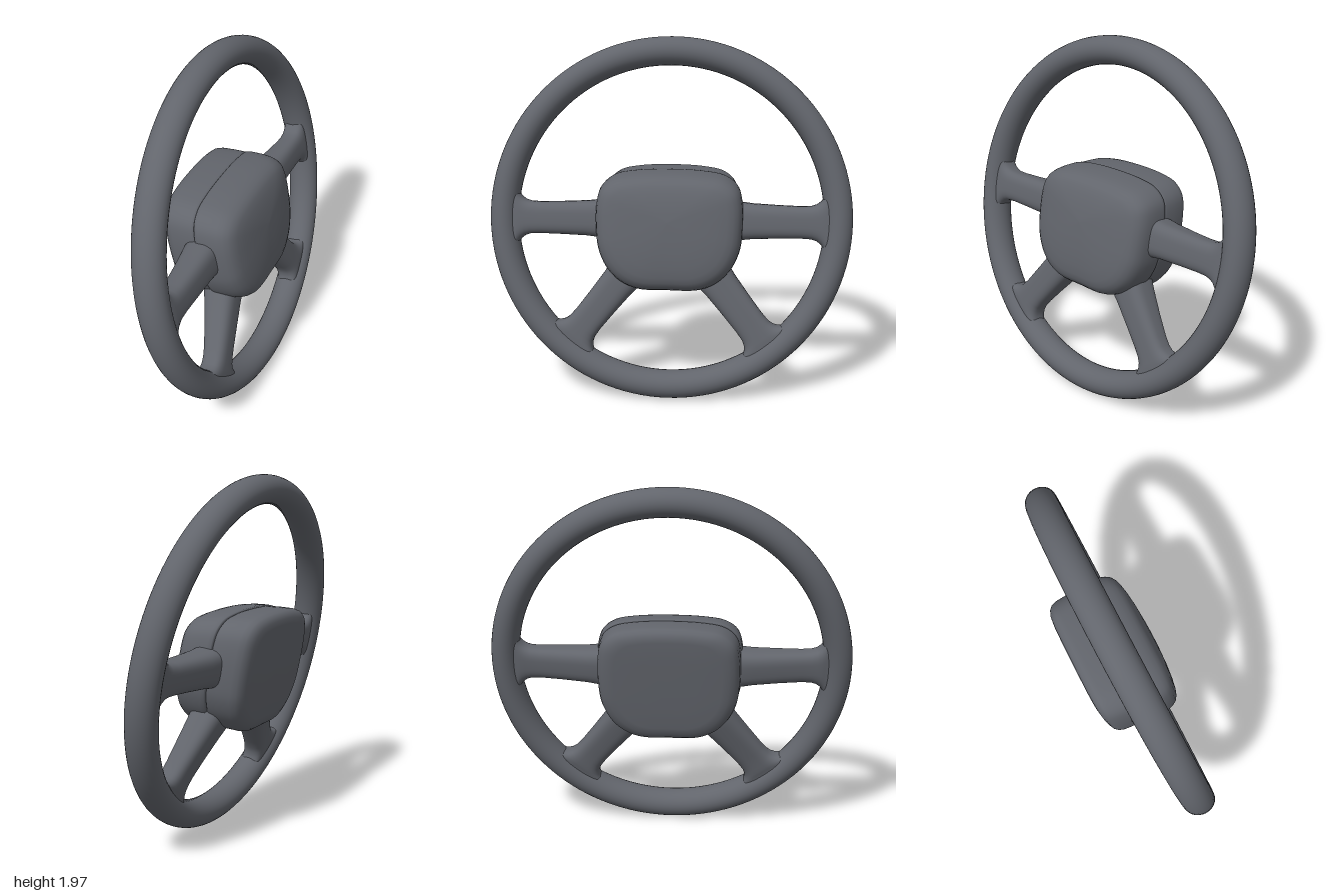
import * as THREE from 'three';

// Skin a list of closed rings, each running counter-clockwise around the loft axis.
function loft(rings) {
  const n = rings[0].length;
  const index = [];
  for (let i = 0; i < rings.length - 1; i++) {
    for (let j = 0; j < n; j++) {
      const a = i * n + j, b = i * n + (j + 1) % n;
      index.push(a, b, a + n, b, b + n, a + n);
    }
  }
  const geo = new THREE.BufferGeometry().setFromPoints(rings.flat());
  geo.setIndex(index);
  geo.computeVertexNormals();
  return geo;
}

// Hub outline: x holds the sideways distance, y the height
const half = [[0, 0.275], [0.2, 0.266], [0.31, 0.243], [0.375, 0.19], [0.4, 0.1], [0.4, -0.08],
  [0.385, -0.17], [0.34, -0.265], [0.27, -0.335], [0.17, -0.378], [0, -0.383]];
const mirrored = half.slice(1, -1).reverse().map(([z, y]) => [-z, y]);
const outline = new THREE.CatmullRomCurve3(
  [...half, ...mirrored].map(([z, y]) => new THREE.Vector3(z, y, 0)), true).getPoints(96).slice(0, 96);

// Hub shell from [depth, scale] steps; the top slopes down toward the face
function hubShell(steps) {
  return loft(steps.map(([d, s]) => outline.map(p =>
    new THREE.Vector3(d, p.y * s * (p.y > 0 ? 1 - 0.8 * d : 1), p.x * s))));
}

// Spoke from [radius, half width, back depth, front depth] steps, with a rounded-box section
function spokeGeometry(steps) {
  const round = v => Math.sign(v) * Math.pow(Math.abs(v), 0.65);
  return loft(steps.map(([r, w, back, front]) => Array.from({ length: 40 }, (_, k) => {
    const t = k / 40 * Math.PI * 2;
    return new THREE.Vector3(
      (front + back) / 2 + (front - back) / 2 * round(Math.sin(t)), r, w * round(Math.cos(t)));
  })));
}

export function createModel() {
  const grey = new THREE.MeshStandardMaterial({ color: 0x62656c });
  grey.name = 'dark grey';
  const model = new THREE.Group();
  model.name = 'steeringWheel';
  const wheel = new THREE.Group();
  wheel.name = 'tiltedWheel';
  wheel.position.set(0.015, 0.988, 0);
  wheel.rotation.z = THREE.MathUtils.degToRad(10.6);
  model.add(wheel);

  const add = (name, geo) => {
    const mesh = new THREE.Mesh(geo, grey);
    mesh.name = name;
    wheel.add(mesh);
    return mesh;
  };

  // Rim with a slightly oval grip
  const rim = new THREE.TorusGeometry(0.922, 0.078, 28, 128);
  rim.scale(1, 1, 1.12);
  rim.rotateY(Math.PI / 2);
  add('rim', rim);

  // Hub: a back housing and a domed front cover that meet at a fine seam
  add('backHousing', hubShell([[-0.256, 0], [-0.256, 0.4], [-0.254, 0.72], [-0.248, 0.81], [-0.235, 0.88],
    [-0.215, 0.925], [-0.185, 0.95], [-0.12, 0.965], [-0.06, 0.97], [-0.052, 0.965], [-0.047, 0.95], [-0.03, 0.95]]));
  add('frontCover', hubShell([[-0.05, 0.9], [-0.046, 0.965], [-0.04, 0.985], [-0.02, 0.995], [0.04, 1],
    [0.085, 0.99], [0.115, 0.968], [0.14, 0.93], [0.158, 0.87], [0.17, 0.79], [0.181, 0.65],
    [0.19, 0.45], [0.195, 0.22], [0.197, 0]]));

  // Four spokes that flare into the rim
  const spoke = spokeGeometry([[0.28, 0.108, -0.125, 0.07], [0.4, 0.104, -0.122, 0.07], [0.46, 0.097, -0.112, 0.068],
    [0.6, 0.091, -0.09, 0.066], [0.72, 0.088, -0.074, 0.064], [0.775, 0.091, -0.07, 0.064],
    [0.805, 0.101, -0.069, 0.064], [0.828, 0.119, -0.068, 0.064], [0.845, 0.145, -0.066, 0.064],
    [0.86, 0.19, -0.062, 0.062], [0.885, 0.21, -0.06, 0.06]]);
  for (const side of [1, -1]) {
    const label = side > 0 ? 'First' : 'Second';
    add('upperSpoke' + label, spoke).rotation.x = side * THREE.MathUtils.degToRad(90);
    add('lowerSpoke' + label, spoke).rotation.x = side * THREE.MathUtils.degToRad(141.5);
  }
  return model;
}
